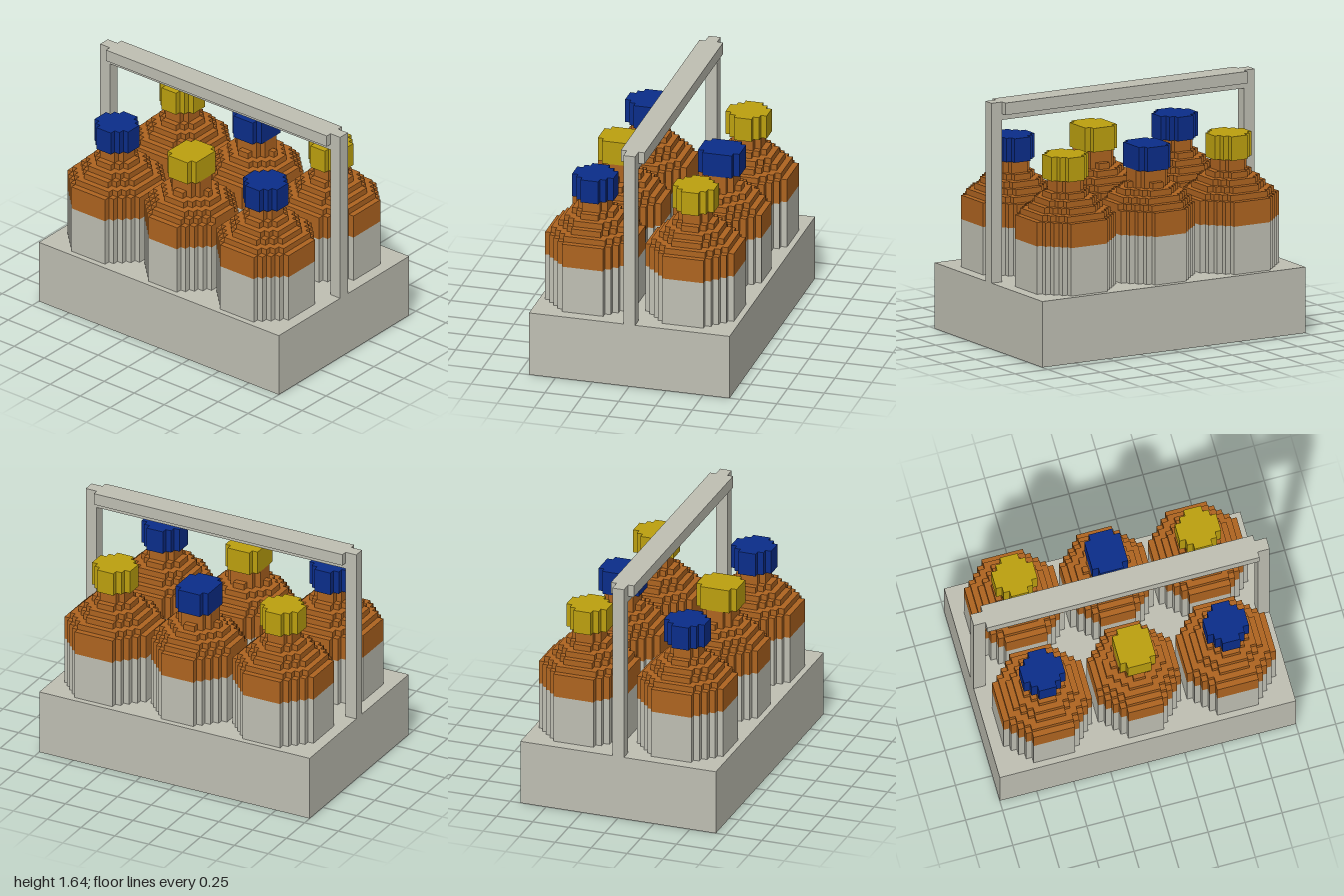
import * as THREE from 'three';

const U = 0.04; // stepping unit of the blocky shapes

// Stepped octagon slab. a: reach along the axes, s: reach along the diagonals (in units),
// half: 0.5 when the slab is an even number of units wide, otherwise 0.
function steppedSlab(a, s, half, y0, y1) {
  const right = [];
  const n = Math.floor(a);
  for (let k = -n; k <= n; k++) {
    const reach = Math.min(a, s - Math.abs(k));
    const w = Math.floor(reach - half) + half + 0.5;
    right.push([w, k - 0.5], [w, k + 0.5]);
  }
  const left = right.map(([x, z]) => [-x, z]).reverse();
  const outline = [...right, ...left]
    .filter((p, i, all) => i === 0 || p[0] !== all[i - 1][0] || p[1] !== all[i - 1][1])
    .map(([x, z]) => new THREE.Vector2(x * U, z * U));
  const geo = new THREE.ExtrudeGeometry(new THREE.Shape(outline), { depth: y1 - y0, bevelEnabled: false });
  return geo.rotateX(-Math.PI / 2).translate(0, y0, 0);
}

export function createModel() {
  const material = (name, color) => {
    const m = new THREE.MeshStandardMaterial({ color });
    m.name = name;
    return m;
  };
  const grey = material('paleGrey', 0xbfbfb3);
  const orange = material('burntOrange', 0xae6420);
  const blue = material('deepBlue', 0x0b2d8a);
  const yellow = material('mustardYellow', 0xbca00f);

  const model = new THREE.Group();
  model.name = 'bottleCrate';

  const add = (parent, name, geo, mat) => {
    const mesh = new THREE.Mesh(geo, mat);
    mesh.name = name;
    parent.add(mesh);
    return mesh;
  };
  const box = (parent, name, w, y0, y1, d, x = 0) =>
    add(parent, name, new THREE.BoxGeometry(w, y1 - y0, d), grey).position.set(x, (y0 + y1) / 2, 0);

  // Crate block
  box(model, 'crate', 2, 0, 0.44, 1.36);

  // Handle: two posts and a T-shaped bar
  const handle = new THREE.Group();
  handle.name = 'handle';
  model.add(handle);
  for (const side of [-1, 1]) box(handle, side > 0 ? 'leftPost' : 'rightPost', 0.08, 0.44, 1.64, 0.08, side * 0.96);
  box(handle, 'gripTop', 1.84, 1.56, 1.64, 0.16);
  box(handle, 'gripRib', 1.84, 1.52, 1.56, 0.08);

  // Shoulder steps up to the neck: [axis reach, diagonal reach, bottom, top]
  const shoulders = [
    [7.2, 10.2, 0.76, 0.92],
    [6.5, 9.2, 0.92, 0.96],
    [5.5, 7.8, 0.96, 1.0],
    [4.5, 6.4, 1.0, 1.04],
    [3.5, 4.3, 1.04, 1.08],
    [2.5, 3.5, 1.08, 1.16],
  ];

  // Six bottles, cap colours alternating
  for (const row of [-1, 1]) {
    for (const col of [-1, 0, 1]) {
      const half = col === 0 ? 0.5 : 0;
      const bottle = new THREE.Group();
      bottle.name = 'bottle';
      bottle.position.set(col * 0.62, 0, row * 0.34);
      add(bottle, 'label', steppedSlab(7.2, 10.2, half, 0.44, 0.76), grey);
      for (const [a, s, y0, y1] of shoulders) {
        add(bottle, a > 3 ? 'shoulder' : 'neck', steppedSlab(a, s, half, y0, y1), orange);
      }
      const isBlue = (row === 1) === (col !== 0);
      add(bottle, 'cap', steppedSlab(3.3, 4.6, half, 1.16, 1.32), isBlue ? blue : yellow);
      model.add(bottle);
    }
  }
  return model;
}
